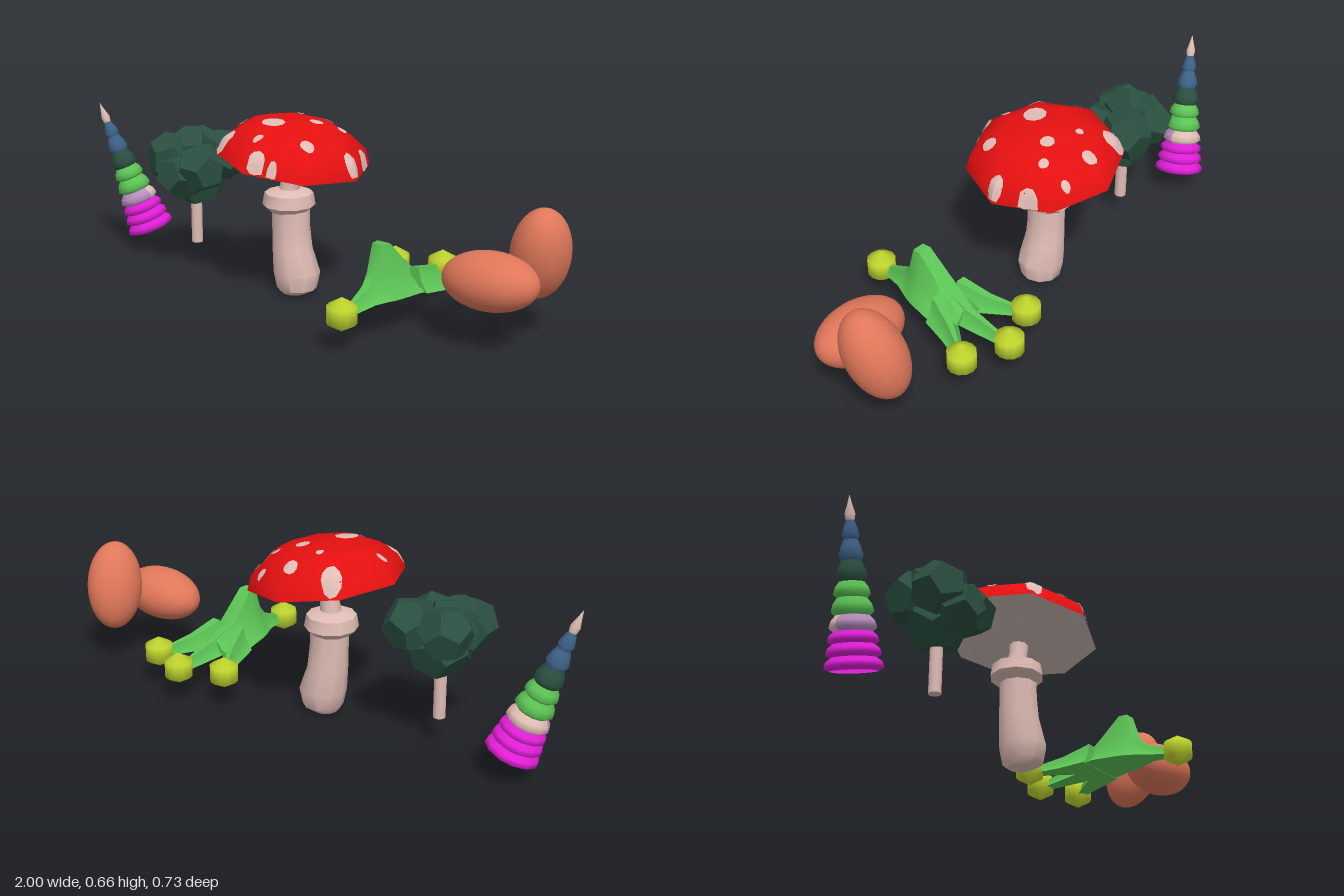
import * as THREE from 'three';
import { toCreasedNormals } from 'three/addons/utils/BufferGeometryUtils.js';

const mat = (name, color, extra = {}) =>
  Object.assign(new THREE.MeshStandardMaterial({ color, ...extra }), { name });
const both = { side: THREE.DoubleSide };
const V = (x, y, z) => new THREE.Vector3(x, y, z);
const lathe = (pts, sides, start = 0, sweep = Math.PI * 2) =>
  new THREE.LatheGeometry(pts.map(p => new THREE.Vector2(...p)), sides, start, sweep);

// Closed skin over a row of equal-length rings, capped at both ends
function loft(rings, crease = 0.8) {
  const n = rings[0].length, pos = [], idx = [];
  rings.forEach(r => r.forEach(p => pos.push(...p)));
  for (let i = 0; i < rings.length - 1; i++)
    for (let j = 0; j < n; j++) {
      const k = (j + 1) % n, a = i * n + j, b = i * n + k, c = b + n, d = a + n;
      idx.push(a, b, c, a, c, d);
    }
  [0, rings.length - 1].forEach((e, end) => {
    const centre = pos.length / 3;
    const sum = rings[e].reduce((s, p) => s.map((v, i) => v + p[i] / n), [0, 0, 0]);
    pos.push(...sum);
    for (let j = 0; j < n; j++) {
      const a = e * n + j, b = e * n + (j + 1) % n;
      idx.push(centre, ...(end ? [a, b] : [b, a]));
    }
  });
  const g = new THREE.BufferGeometry();
  g.setAttribute('position', new THREE.Float32BufferAttribute(pos, 3));
  g.setIndex(idx);
  return toCreasedNormals(g, crease);
}

export function createModel() {
  const model = new THREE.Group();
  const pink = mat('pale pink', 0xe0bdb5), gill = mat('greyish pink', 0xcdbab5);
  const red = mat('red', 0xe51010), pine = mat('dark green', 0x2a4f40, both);
  const green = mat('green', 0x5cc455, both), lime = mat('lime', 0xc0d62e);
  const orange = mat('orange', 0xe0775a), blue = mat('blue', 0x3d6287, both);
  const magenta = mat('magenta', 0xe01ed6, both), lilac = mat('lilac', 0xb98fc0, both);
  pink.side = THREE.DoubleSide;

  const group = (name, parent = model) => {
    const g = new THREE.Group();
    g.name = name;
    parent.add(g);
    return g;
  };
  const add = (parent, name, geo, material, x = 0, y = 0, z = 0) => {
    const m = new THREE.Mesh(geo, material);
    m.name = name;
    m.position.set(x, y, z);
    parent.add(m);
    return m;
  };

  // Leaning horn made of stacked bulging rings, open underneath
  const horn = group('horn');
  const base = V(-0.83, 0.09, -0.1), axis = V(-1, 0.61, 0).sub(base), len = axis.length();
  horn.position.copy(base);
  horn.quaternion.setFromUnitVectors(V(0, 1, 0), axis.normalize());
  const steps = [0, 0.075, 0.15, 0.22, 0.31, 0.41, 0.5, 0.62, 0.74, 0.85, 1];
  const tints = [magenta, magenta, magenta, lilac, green, green, pine, blue, blue, pink];
  tints.forEach((tint, i) => {
    const t0 = steps[i], t1 = steps[i + 1], h = t1 - t0;
    const r = t => 0.096 * (1 - t) ** 0.9;
    const profile = [[r(t0) * 0.8, t0 * len], [r(t0), (t0 + h * 0.25) * len],
      [r(t0 + h * 0.6) * 0.98, (t0 + h * 0.65) * len], [r(t1) * 0.8, t1 * len]];
    if (tint === lilac) {
      add(horn, 'hornRingFront', lathe(profile, 6, -Math.PI / 2, Math.PI), lilac);
      add(horn, 'hornRingBack', lathe(profile, 6, Math.PI / 2, Math.PI), pink);
    } else add(horn, i === 9 ? 'hornTip' : 'hornRing', lathe(profile, 12), tint);
  });

  // Little tree with clumped leaves
  const tree = group('tree');
  add(tree, 'trunk', new THREE.CylinderGeometry(0.022, 0.022, 0.25, 10), pink, -0.52, 0.235, -0.04);
  [[-0.58, 0.45, 0.02, 0.105], [-0.57, 0.46, -0.11, 0.1], [-0.44, 0.46, -0.11, 0.1],
    [-0.44, 0.43, 0.02, 0.1], [-0.51, 0.38, -0.04, 0.12], [-0.52, 0.4, 0.04, 0.1],
    [-0.56, 0.47, -0.03, 0.1]].forEach(([x, y, z, r], i) => {
    const leaf = add(tree, 'leafClump', new THREE.DodecahedronGeometry(r), pine, x, y, z);
    leaf.rotation.set(i * 0.7, i * 1.3, i * 0.4);
  });

  // Mushroom stem: bent foot, collar and neck as [centre x, y, radius]
  const mushroom = group('mushroom');
  const stemPart = (name, sections) => add(mushroom, name, loft(sections.map(([cx, y, r]) =>
    Array.from({ length: 10 }, (_, j) => {
      const a = j / 10 * Math.PI * 2;
      return [cx + r * Math.cos(a), y, -0.05 - r * Math.sin(a)];
    }))), pink);
  stemPart('stem', [[-0.045, 0.002, 0.045], [-0.033, 0.025, 0.075], [-0.033, 0.085, 0.087],
    [-0.054, 0.18, 0.074], [-0.06, 0.26, 0.07], [-0.062, 0.34, 0.07]]);
  stemPart('collar', [[-0.07, 0.315, 0.07], [-0.07, 0.34, 0.098], [-0.07, 0.385, 0.09], [-0.068, 0.4, 0.05]]);
  stemPart('neck', [[-0.07, 0.38, 0.04], [-0.062, 0.44, 0.034], [-0.055, 0.5, 0.036]]);

  // Tilted eight-sided cap with its underside
  const cap = group('cap', mushroom);
  cap.position.set(-0.05, 0.515, -0.05);
  cap.rotation.z = -0.142;
  const dome = add(cap, 'capTop', lathe([[0.283, 0], [0.262, 0.055], [0.2, 0.105], [0.14, 0.13], [0, 0.143]], 8), red);
  add(cap, 'capUnderside', lathe([[0, -0.045], [0.16, -0.035], [0.283, 0]], 8), gill);

  // Spots draped over the cap as [x, z, radius] about its centre
  const probe = new THREE.Mesh(dome.geometry, pink), ray = new THREE.Raycaster();
  [[-0.16, -0.18, 0.035], [-0.01, -0.2, 0.025], [-0.07, -0.11, 0.014], [0.04, -0.06, 0.026],
    [0.12, -0.11, 0.018], [0.25, 0, 0.028], [0.235, -0.125, 0.038], [0.14, 0.12, 0.025],
    [-0.05, 0.075, 0.042], [-0.17, 0.18, 0.03], [-0.02, 0.19, 0.018], [0.03, 0.255, 0.03],
    [-0.22, 0.03, 0.018], [0.12, -0.2, 0.016], [0.09, 0.24, 0.018]].forEach(([x, z, r]) => {
    const g = new THREE.RingGeometry(0, r, 10, 3).rotateX(-Math.PI / 2).translate(x, 0, z);
    const p = g.attributes.position;
    for (let i = 0; i < p.count; i++) {
      let hit, s = 1;
      for (; !hit && s > 0.5; s -= 0.01) {
        ray.set(V(p.getX(i) * s, 1, p.getZ(i) * s), V(0, -1, 0));
        hit = ray.intersectObject(probe)[0];
      }
      if (hit) {
        const q = hit.point.addScaledVector(hit.face.normal, 0.004);
        p.setXYZ(i, q.x, q.y, q.z);
      }
    }
    g.computeVertexNormals();
    add(cap, 'capSpot', g, pink);
  });

  // Pointed floppy hat: sections are [x, z, half width, bottom, top]
  const hat = group('hat');
  const hatPart = (name, sections) => add(hat, name, loft(sections.map(([x, z, w, b, t]) => {
    const h = t - b;
    const half = [[1, 0], [0.75, 0.18], [0.48, 0.5], [0.3, 1]].map(([u, v]) => [u * w, b + v * h]);
    return [...half.map(([u, y]) => [x - u, y, z]), ...half.reverse().map(([u, y]) => [x + u, y, z])];
  }), 1), green);
  hatPart('hatBody', [[0.433, 0.29, 0.016, 0.122, 0.148], [0.433, 0.18, 0.045, 0.138, 0.19],
    [0.433, 0.14, 0.062, 0.14, 0.235], [0.433, 0.11, 0.075, 0.14, 0.325], [0.433, 0.075, 0.085, 0.14, 0.325],
    [0.433, 0, 0.1, 0.14, 0.255], [0.433, -0.06, 0.105, 0.133, 0.205], [0.433, -0.12, 0.085, 0.127, 0.175]]);
  for (const s of [-1, 0, 1]) {
    const end = s ? -0.23 : -0.29;
    hatPart('hatArm', [[0.433 + s * 0.06, -0.03, 0.055, 0.135, 0.22],
      [0.433 + s * 0.095, -0.13, 0.042, 0.125, 0.18], [0.433 + s * 0.15, end, 0.018, 0.118, 0.147]]);
  }
  [[0.433, 0.312], [0.433, -0.315], [0.272, -0.247], [0.594, -0.247]].forEach(([x, z]) =>
    add(hat, 'hatBobble', new THREE.SphereGeometry(0.06, 12, 3), lime, x, 0.136, z));

  // Pair of smooth eggs
  const eggs = group('eggs');
  const egg = (name, centre, radii, dir) => {
    const m = add(eggs, name, new THREE.SphereGeometry(1, 32, 20), orange, ...centre);
    m.scale.set(...radii);
    m.quaternion.setFromUnitVectors(V(0, 1, 0), V(...dir).normalize());
  };
  egg('lyingEgg', [0.805, 0.246, 0.006], [0.1, 0.172, 0.11], [1, 0.06, 0]);
  egg('leaningEgg', [0.893, 0.313, -0.168], [0.1, 0.17, 0.11], [0.06, 0.32, 0.09]);
  return model;
}
